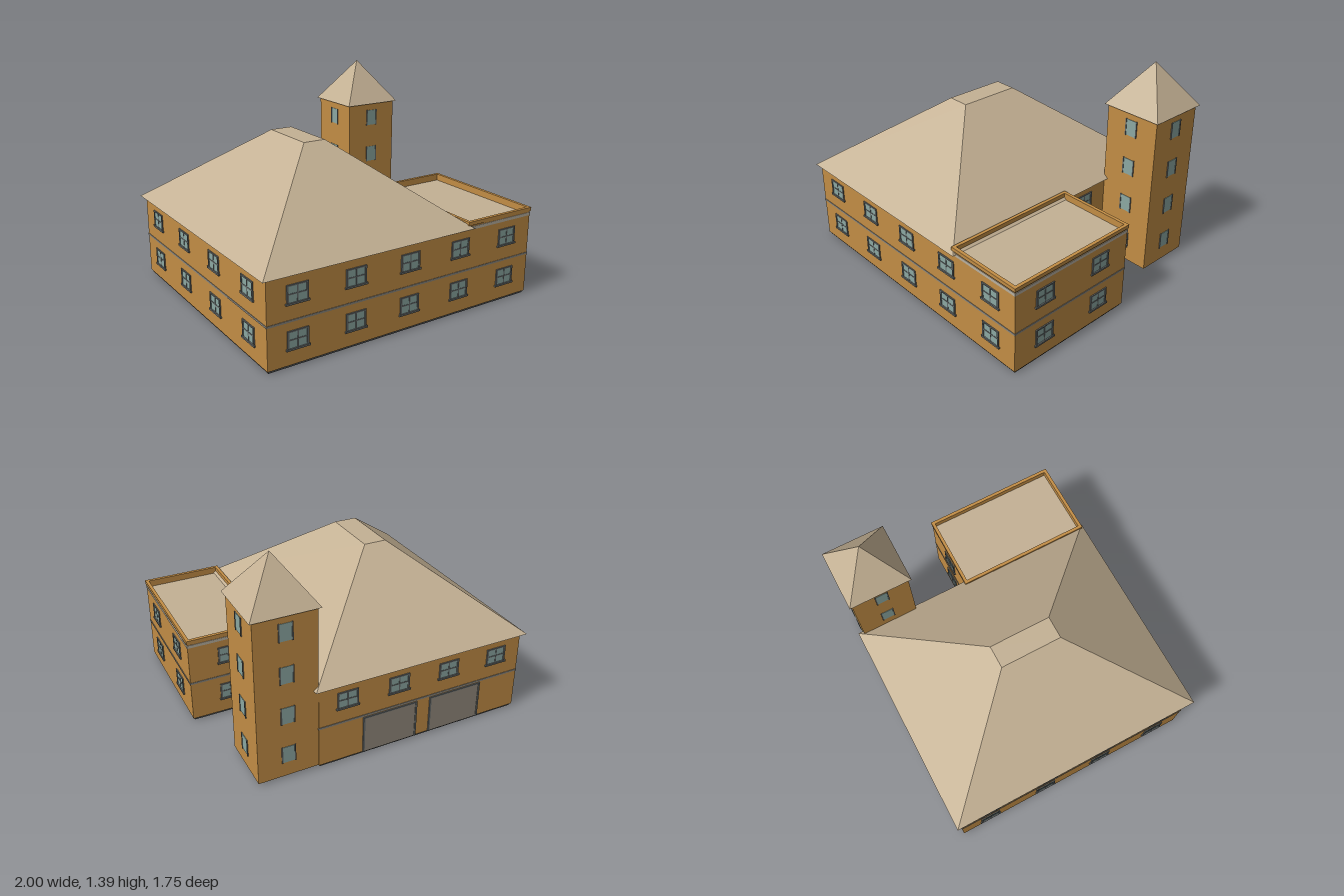
import * as THREE from 'three';

const mat = (name, color) => {
  const m = new THREE.MeshStandardMaterial({ color });
  m.name = name;
  return m;
};

export function createModel() {
  const wall = mat('ochre wall', 0xc28d45);
  const roofMat = mat('tan roof', 0xc4b194);
  const glass = mat('window glass', 0x8ca8a2);
  const frame = mat('window frame', 0x666b6b);
  const band = mat('grey band', 0x8b867c);
  const trim = mat('light trim', 0xb9b0a0);
  const doorMat = mat('garage door', 0x928a7d);
  const base = mat('dark base', 0x4b4e51);

  const model = new THREE.Group();
  model.name = 'building';

  // Box given by its min and max corners
  const block = (parent, name, material, x0, x1, y0, y1, z0, z1) => {
    const mesh = new THREE.Mesh(new THREE.BoxGeometry(x1 - x0, y1 - y0, z1 - z0), material);
    mesh.position.set((x0 + x1) / 2, (y0 + y1) / 2, (z0 + z1) / 2);
    mesh.name = name;
    parent.add(mesh);
    return mesh;
  };

  // Hipped roof: a box whose upper corners are drawn in
  const hipRoof = (name, cx, cz, y0, y1, w, d, topW, topD) => {
    const g = new THREE.BoxGeometry(w, y1 - y0, d).toNonIndexed();
    const p = g.attributes.position;
    for (let i = 0; i < p.count; i++) {
      if (p.getY(i) > 0) {
        p.setX(i, Math.sign(p.getX(i)) * topW / 2);
        p.setZ(i, Math.sign(p.getZ(i)) * topD / 2);
      }
    }
    g.computeVertexNormals();
    const mesh = new THREE.Mesh(g, roofMat);
    mesh.position.set(cx, (y0 + y1) / 2, cz);
    mesh.name = name;
    model.add(mesh);
  };

  // Group on a wall face whose local +z points outwards
  const onWall = (name, x, y, z, turn) => {
    const g = new THREE.Group();
    g.name = name;
    g.position.set(x, y, z);
    g.rotation.y = turn * Math.PI / 2;
    model.add(g);
    return g;
  };

  // Cross-barred window with frame and sill
  const crossWindow = (x, y, z, turn) => {
    const g = onWall('window', x, y, z, turn);
    block(g, 'glass', glass, -0.065, 0.065, -0.052, 0.052, -0.01, 0.003);
    for (const s of [-1, 1]) {
      block(g, 'jamb', frame, s * 0.064 - 0.006, s * 0.064 + 0.006, -0.056, 0.056, -0.01, 0.007);
    }
    block(g, 'head', frame, -0.07, 0.07, 0.048, 0.057, -0.01, 0.007);
    block(g, 'upright bar', frame, -0.004, 0.004, -0.052, 0.052, -0.01, 0.005);
    block(g, 'cross bar', frame, -0.065, 0.065, -0.004, 0.004, -0.01, 0.005);
    block(g, 'sill', frame, -0.077, 0.077, -0.062, -0.05, -0.01, 0.011);
  };

  // Narrow tower window with side jambs
  const towerWindow = (x, y, z, turn) => {
    const g = onWall('towerWindow', x, y, z, turn);
    block(g, 'glass', glass, -0.037, 0.037, -0.055, 0.055, -0.01, 0.003);
    for (const s of [-1, 1]) {
      block(g, 'jamb', frame, s * 0.041 - 0.004, s * 0.041 + 0.004, -0.058, 0.058, -0.01, 0.006);
    }
  };

  // Main block and wing: base, walls and middle band
  const main = [-0.97, 0.46, -0.85, 0.85];
  const wing = [0.46, 0.985, -0.07, 0.85];
  block(model, 'mainBase', base, -0.96, 0.45, 0, 0.016, -0.84, 0.84);
  block(model, 'wingBase', base, 0.45, 0.975, 0, 0.016, -0.06, 0.84);
  block(model, 'mainWalls', wall, main[0], main[1], 0.016, 0.562, main[2], main[3]);
  block(model, 'wingWalls', wall, wing[0], wing[1], 0.016, 0.552, wing[2], wing[3]);
  for (const [x0, x1, z0, z1] of [main, wing]) {
    block(model, 'floorBand', band, x0 - 0.003, x1 + 0.003, 0.279, 0.292, z0 - 0.003, z1 + 0.003);
  }
  hipRoof('mainRoof', -0.255, -0.003, 0.562, 1.08, 1.49, 1.755, 0.15, 0.41);

  // Flat wing roof with parapet, trim and coping
  block(model, 'wingRoof', roofMat, 0.46, 0.98, 0.55, 0.558, -0.065, 0.845);
  const ring = (name, material, y0, y1, out, thick) => {
    const [x0, x1, z0, z1] = [wing[0] - out, wing[1] + out, wing[2] - out, wing[3] + out];
    block(model, name, material, x0, x0 + thick, y0, y1, z0, z1);
    block(model, name, material, x1 - thick, x1, y0, y1, z0, z1);
    block(model, name, material, x0 + thick, x1 - thick, y0, y1, z0, z0 + thick);
    block(model, name, material, x0 + thick, x1 - thick, y0, y1, z1 - thick, z1);
  };
  ring('parapet', wall, 0.552, 0.58, 0, 0.014);
  ring('parapetTrim', trim, 0.55, 0.57, 0.003, 0.01);
  ring('coping', wall, 0.58, 0.604, 0.006, 0.022);

  // Windows in two rows
  for (const y of [0.445, 0.17]) {
    for (let i = 0; i < 5; i++) crossWindow(-0.775 + i * 0.39, y, 0.85, 0);
    for (const z of [-0.64, -0.215, 0.215, 0.64]) crossWindow(-0.97, y, z, 3);
    for (const z of [0.165, 0.62]) crossWindow(0.985, y, z, 1);
    crossWindow(0.46, y, -0.26, 1);
    crossWindow(0.72, y, -0.07, 2);
  }
  for (const x of [0.27, -0.08, -0.435, -0.79]) crossWindow(x, 0.445, -0.85, 2);

  // Garage doors at the back
  for (const x of [-0.025, -0.495]) {
    const g = onWall('garageDoor', x, 0.016, -0.85, 2);
    block(g, 'doorPanel', doorMat, -0.18, 0.18, 0, 0.25, -0.01, 0.004);
    for (const s of [-1, 1]) {
      block(g, 'doorJamb', frame, s * 0.183 - 0.006, s * 0.183 + 0.006, 0, 0.257, -0.01, 0.008);
    }
    block(g, 'doorHead', frame, -0.18, 0.18, 0.248, 0.257, -0.01, 0.008);
  }

  // Corner tower
  const tx = 0.653, tz = -0.65, half = 0.195;
  block(model, 'tower', wall, tx - half, tx + half, 0.018, 1.1, tz - half, tz + half);
  hipRoof('towerRoof', tx, tz, 1.1, 1.393, 0.426, 0.426, 0.001, 0.001);
  for (let turn = 0; turn < 4; turn++) {
    const a = turn * Math.PI / 2;
    for (const y of [0.172, 0.447, 0.72, 0.995]) {
      if (turn === 3 && y < 0.6) continue;
      towerWindow(tx + Math.sin(a) * half, y, tz + Math.cos(a) * half, turn);
    }
  }
  return model;
}
